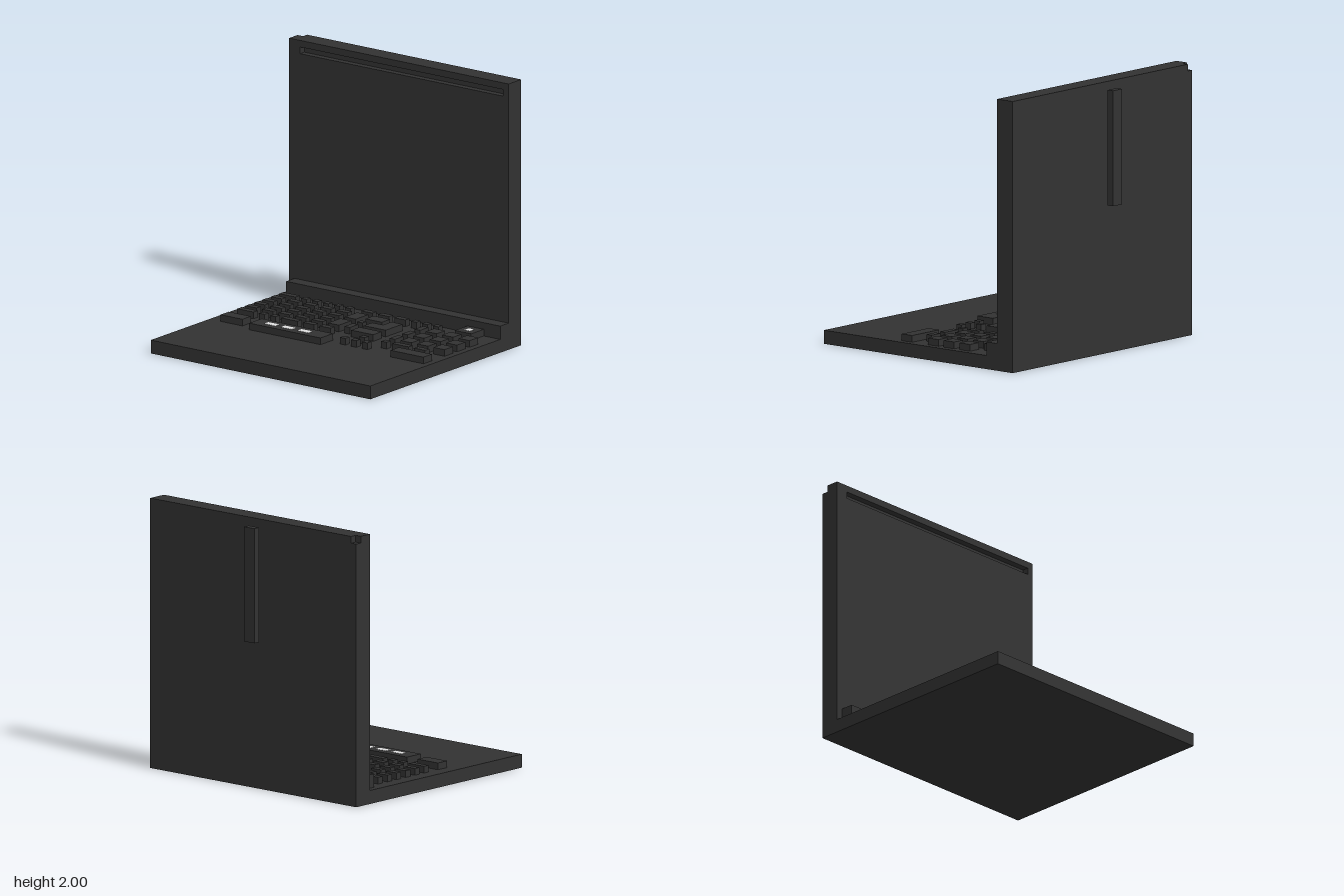
import * as THREE from 'three';

const charcoal = new THREE.MeshStandardMaterial({ color: 0x323232 });
charcoal.name = 'charcoal';
const lightGrey = new THREE.MeshStandardMaterial({ color: 0xe0e0e0 });
lightGrey.name = 'lightGrey';

// Box given by its limits along each axis
function block(parent, name, [x0, x1], [y0, y1], [z0, z1], material = charcoal) {
  const mesh = new THREE.Mesh(new THREE.BoxGeometry(x1 - x0, y1 - y0, z1 - z0), material);
  mesh.position.set((x0 + x1) / 2, (y0 + y1) / 2, (z0 + z1) / 2);
  mesh.name = name;
  parent.add(mesh);
}

// Upright slab cut from an outline in x and y
function slab(parent, name, shape, z0, depth) {
  const mesh = new THREE.Mesh(new THREE.ExtrudeGeometry(shape, { depth, bevelEnabled: false }), charcoal);
  mesh.position.z = z0;
  mesh.name = name;
  parent.add(mesh);
}

const outline = (points) => new THREE.Shape(points.map(([x, y]) => new THREE.Vector2(x, y)));

export function createModel() {
  const model = new THREE.Group();
  model.name = 'laptop';

  // Body and hinge
  block(model, 'base', [-1, 1], [0, 0.1], [-0.85, 0.95]);
  block(model, 'hinge', [-0.95, 1], [0.1, 0.2], [-0.7, -0.6]);

  // Lid: back with a notched corner, core, front with a shallow slot
  const lid = new THREE.Group();
  lid.name = 'lid';
  model.add(lid);
  slab(lid, 'lidBack', outline([[-1, 0.1], [1, 0.1], [1, 2], [-0.95, 2], [-0.95, 1.95], [-1, 1.95]]), -0.85, 0.05);
  block(lid, 'lidCore', [-1, 1], [0.1, 2], [-0.8, -0.75]);
  const front = outline([[-1, 0.1], [1, 0.1], [1, 2], [-1, 2]]);
  front.holes.push(outline([[-0.9, 1.9], [-0.9, 1.95], [0.95, 1.95], [0.95, 1.9]]));
  slab(lid, 'lidFront', front, -0.75, 0.05);
  block(model, 'backStrip', [-0.1, 0], [1.1, 1.95], [-0.95, -0.9]);

  // Keys, in rows of [z range, x ranges]
  const keyboard = new THREE.Group();
  keyboard.name = 'keyboard';
  model.add(keyboard);
  const letters = [[-0.9, -0.8], [-0.75, -0.65], [-0.6, -0.5], [-0.45, -0.35], [-0.3, -0.2]];
  const numbers = [[0.45, 0.5], [0.55, 0.65], [0.7, 0.8], [0.85, 0.95]];
  const rows = [
    [[-0.5, -0.45], [[-0.9, -0.75], [-0.7, -0.65], [-0.6, -0.55], [-0.5, -0.45], [-0.4, -0.35], [-0.3, -0.25],
      [-0.15, -0.05], [0, 0.1], [0.15, 0.25], [0.3, 0.35], [0.4, 0.45], [0.5, 0.55]]],
    [[0, 0.05], [[-0.9, -0.75], [-0.7, -0.65], [-0.6, -0.55], [-0.5, -0.35], [-0.3, -0.2], [-0.15, -0.05]]],
    [[-0.4, -0.25], [[-0.15, -0.05]]],
    [[-0.2, -0.05], [[-0.15, -0.05]]],
    [[-0.4, -0.3], [[0, 0.15]]],
    [[-0.25, -0.2], [[0, 0.05]]],
    [[-0.15, -0.05], [[0, 0.05]]],
    [[-0.35, -0.15], [[0.2, 0.3]]],
    [[-0.25, -0.15], [[0.1, 0.2]]],
    [[-0.1, 0], [[0.1, 0.3]]],
    [[0.05, 0.1], [[0.25, 0.3], [0.45, 0.5], [0.55, 0.7], [0.75, 0.85]]],
    [[0.15, 0.2], [[0.15, 0.2], [0.25, 0.3], [0.35, 0.4]]],
    [[0.15, 0.25], [[-0.9, -0.7], [0.65, 0.95]]],
  ];
  for (const z of [-0.4, -0.3, -0.2, -0.1]) rows.push([[z, z + 0.05], letters]);
  for (const z of [-0.4, -0.25, -0.1]) rows.push([[z, z + 0.1], numbers]);
  for (const [z, spans] of rows) {
    for (const x of spans) block(keyboard, 'key', x, [0.1, 0.15], z);
  }

  // Space bar and power button with pale marks
  block(keyboard, 'spaceBar', [-0.6, 0.05], [0.1, 0.15], [0.15, 0.3]);
  block(model, 'powerButton', [0.7, 0.85], [0.1, 0.15], [-0.6, -0.45]);
  for (const x of [-0.5, -0.35, -0.2]) {
    block(keyboard, 'spaceBarMark', [x, x + 0.1], [0.149, 0.152], [0.2, 0.25], lightGrey);
  }
  block(model, 'powerMark', [0.75, 0.8], [0.149, 0.152], [-0.55, -0.5], lightGrey);

  return model;
}
